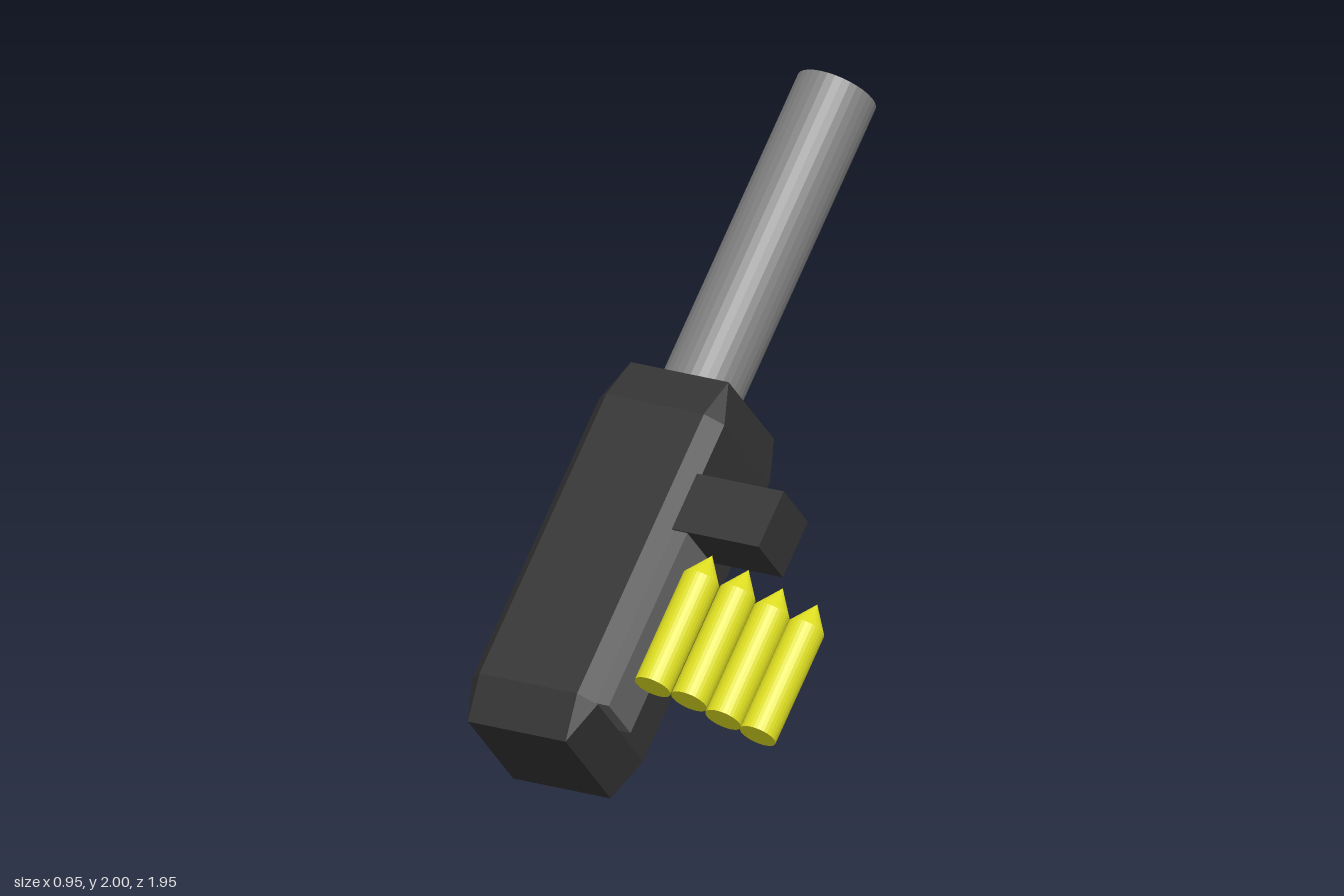
import * as THREE from 'three';
import { ConvexGeometry } from 'three/addons/geometries/ConvexGeometry.js';
import { mergeGeometries } from 'three/addons/utils/BufferGeometryUtils.js';

const mat = (color) => new THREE.MeshStandardMaterial({ color, flatShading: true });

function addPart(parent, name, geometry, material, x, y, z) {
  const mesh = new THREE.Mesh(geometry, material);
  mesh.name = name;
  mesh.position.set(x, y, z);
  parent.add(mesh);
  return mesh;
}

// Box with every edge chamfered: each corner gives one point on each of three faces
function chamferedBox(hx, hy, hz, inset) {
  const points = [];
  for (const sx of [-1, 1]) for (const sy of [-1, 1]) for (const sz of [-1, 1]) {
    for (let axis = 0; axis < 3; axis++) {
      const k = [inset, inset, inset];
      k[axis] = 1;
      points.push(new THREE.Vector3(sx * hx * k[0], sy * hy * k[1], sz * hz * k[2]));
    }
  }
  return new ConvexGeometry(points);
}

// Closed cylinder with a pointed cone tip, base at y = 0
function roundGeometry(radius, bodyLength, tipLength) {
  const body = new THREE.CylinderGeometry(radius, radius, bodyLength, 32);
  body.translate(0, bodyLength / 2, 0);
  const tip = new THREE.ConeGeometry(radius, tipLength, 32, 1, true);
  tip.translate(0, bodyLength + tipLength / 2, 0);
  return mergeGeometries([body, tip]);
}

export function createModel() {
  const model = new THREE.Group();
  model.name = 'beltFedGun';

  // Built upright along y, then tilted back 45 degrees
  const gun = new THREE.Group();
  gun.name = 'tiltedGun';
  gun.rotation.x = -Math.PI / 4;
  model.add(gun);

  const dark = mat(0x333333);
  const grey = mat(0x666666);
  const steel = mat(0x808080);
  const brass = mat(0xdddd22);

  // Receiver body and barrel
  addPart(gun, 'body', chamferedBox(0.24, 0.67, 0.24, 0.777), dark, -0.24, 0.163, 0.693);
  addPart(gun, 'barrel', new THREE.CylinderGeometry(0.136, 0.136, 1.2, 32), steel, -0.237, 1.366, 0.728);

  // Feed plate and feed block on the side
  addPart(gun, 'feedPlate', new THREE.BoxGeometry(0.085, 0.66, 0.178), grey, 0.0025, -0.027, 0.796);
  addPart(gun, 'feedBlock', new THREE.BoxGeometry(0.34, 0.207, 0.2), dark, 0.15, 0.391, 0.791);

  // Hanging row of cartridges
  const belt = new THREE.Group();
  belt.name = 'ammoBelt';
  gun.add(belt);
  const cartridge = roundGeometry(0.062, 0.4, 0.09);
  [[0.108, 0.795], [0.222, 0.741], [0.311, 0.652], [0.41, 0.581]].forEach(([x, z], i) =>
    addPart(belt, `cartridge${i + 1}`, cartridge, brass, x, -0.223, z));

  return model;
}
